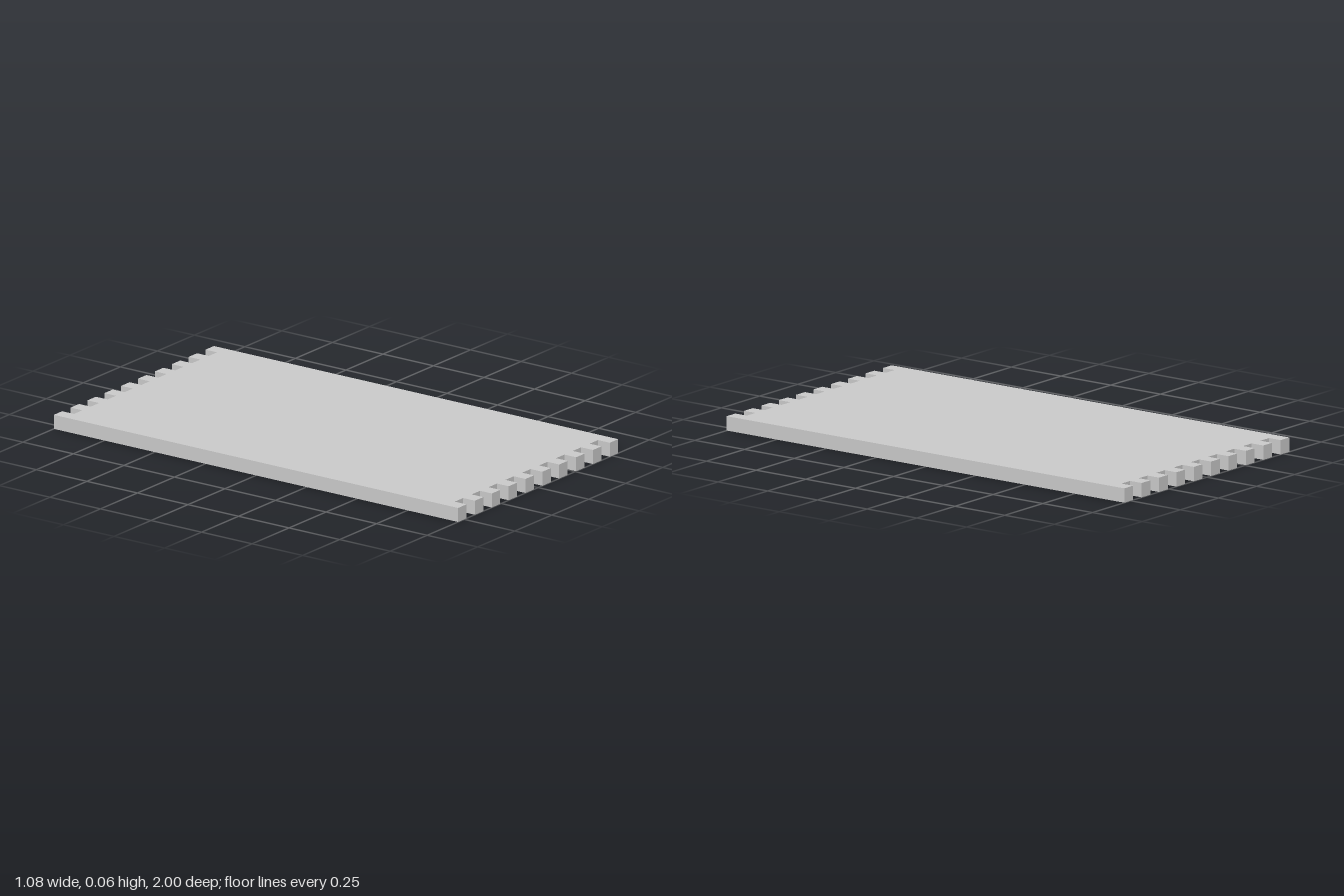
import * as THREE from 'three';

const WIDTH = 1.082, LENGTH = 2, THICK = 0.059, DEPTH = 0.058;
const STEPS = 19; // alternating teeth and slots across each end

export function createModel() {
  const group = new THREE.Group();
  group.name = 'fingerJointPanel';

  // Comb profile of one end, left to right; the other end is its half turn
  const step = WIDTH / STEPS;
  const end = [];
  for (let i = 0; i < STEPS; i++) {
    const y = -LENGTH / 2 + (i % 2 ? DEPTH : 0);
    const x = -WIDTH / 2 + i * step;
    end.push(new THREE.Vector2(x, y), new THREE.Vector2(x + step, y));
  }
  const outline = [...end, ...end.map((p) => p.clone().negate())];

  // Flat panel, extruded upward from the ground
  const geometry = new THREE.ExtrudeGeometry(new THREE.Shape(outline), {
    depth: THICK,
    bevelEnabled: false,
  });
  geometry.rotateX(-Math.PI / 2);

  const panel = new THREE.Mesh(
    geometry,
    new THREE.MeshStandardMaterial({ color: 0xcccccc, flatShading: true })
  );
  panel.name = 'panel';
  group.add(panel);
  return group;
}
